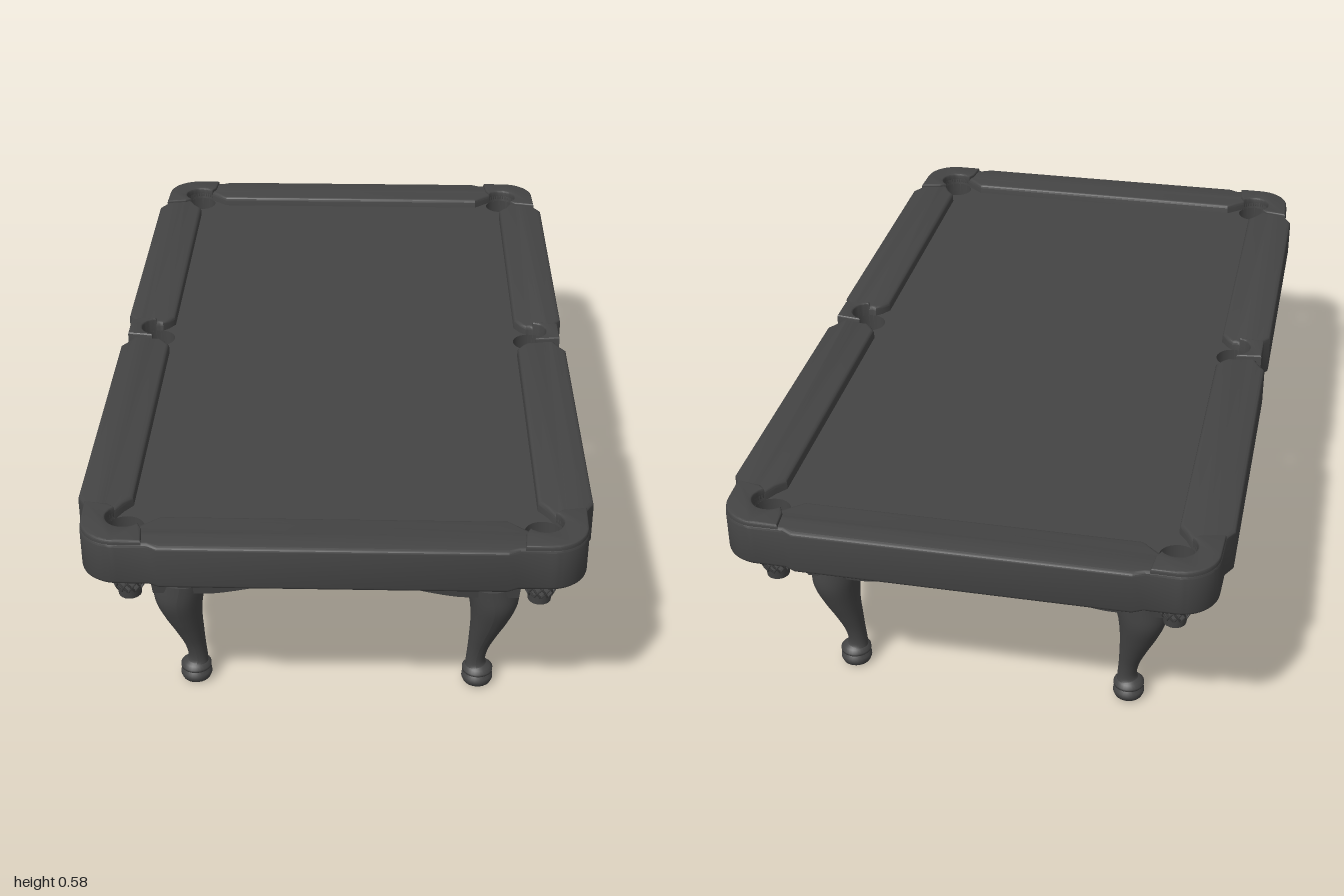
import * as THREE from 'three';
import { toCreasedNormals } from 'three/addons/utils/BufferGeometryUtils.js';

const charcoal = new THREE.MeshStandardMaterial({ color: 0x444444 });
charcoal.name = 'charcoal';

const POCKET_R = 0.043;
const CORNER = [0.463, 0.886];
const SIDE = [0.492, 0];
const signs = [[1, 1], [-1, 1], [-1, -1], [1, -1]];

function arc([cx, cz], r, from, to, n = 14) {
  return Array.from({ length: n + 1 }, (_, i) => {
    const a = THREE.MathUtils.degToRad(from + ((to - from) * i) / n);
    return [cx + r * Math.cos(a), cz + r * Math.sin(a)];
  });
}

// Repeats a quarter outline (side to end) around all four quadrants.
function mirrorQuarter(q) {
  return signs.flatMap(([sx, sz], i) => {
    const pts = q.map(([x, z]) => [x * sx, z * sz]);
    return i % 2 ? pts.reverse() : pts;
  });
}

const vectors = (pts) => pts.map(([x, y]) => new THREE.Vector2(x, y));

// Flat plan outline raised from y0 to y1 with softened edges.
function slab(outline, holes, y0, y1, bevel) {
  const shape = new THREE.Shape(vectors(outline));
  holes.forEach((h) => shape.holes.push(new THREE.Path(vectors(h))));
  const geo = new THREE.ExtrudeGeometry(shape, {
    depth: y1 - y0 - 2 * bevel, bevelEnabled: bevel > 0, bevelSize: bevel,
    bevelThickness: bevel, bevelOffset: -bevel, bevelSegments: 3,
  });
  geo.rotateX(-Math.PI / 2).translate(0, y0 + bevel, 0);
  return toCreasedNormals(geo, 0.6);
}

function add(parent, name, geo) {
  const mesh = new THREE.Mesh(geo, charcoal);
  mesh.name = name;
  parent.add(mesh);
  return mesh;
}

// Tapered apron board with an arched lower edge.
function apronBoard(halfBottom, halfTop, faceBottom, faceTop, archHalf) {
  const geo = new THREE.BoxGeometry(2, 1, 1, 48, 5, 1);
  const p = geo.attributes.position;
  for (let i = 0; i < p.count; i++) {
    const u = p.getX(i), v = p.getY(i) + 0.5, w = 0.5 - p.getZ(i);
    const d = Math.min(Math.abs(u * halfBottom) / archHalf, 1);
    const low = 0.3 + 0.052 * Math.pow(0.5 + 0.5 * Math.cos(Math.PI * d), 0.75);
    const y = low + (0.47 - low) * v;
    const t = (y - 0.3) / 0.17;
    const inset = w * 0.03;
    p.setXYZ(i, u * (halfBottom + (halfTop - halfBottom) * t - inset), y,
      faceBottom + (faceTop - faceBottom) * t - inset);
  }
  geo.computeVertexNormals();
  return geo;
}

// Curved leg: x = outward lean, y = height, z = radius.
const legCurve = new THREE.CatmullRomCurve3([
  [0, 0.045, 0.03], [-0.005, 0.06, 0.024], [-0.001, 0.1, 0.025], [0.01, 0.15, 0.034],
  [0.022, 0.2, 0.045], [0.03, 0.26, 0.058], [0.02, 0.32, 0.066],
].map((a) => new THREE.Vector3(...a)));

function legGeometry(sx, sz) {
  const geo = new THREE.CylinderGeometry(1, 1, 1, 28, 28);
  const p = geo.attributes.position;
  for (let i = 0; i < p.count; i++) {
    const c = legCurve.getPoint(p.getY(i) + 0.5);
    p.setXYZ(i, sx * c.x + p.getX(i) * c.z, c.y, sz * c.x * 0.6 + p.getZ(i) * c.z);
  }
  geo.computeVertexNormals();
  return geo;
}

// Net radius at height fraction t, from bottom to top.
const netRadius = (t) => 0.029 + 0.013 * Math.sin(Math.min(t * 1.7, 1) * Math.PI / 2);

function netStrand(turn) {
  const pts = Array.from({ length: 13 }, (_, i) => {
    const t = i / 12, a = turn * t * 1.3, r = netRadius(t);
    return new THREE.Vector3(r * Math.cos(a), 0.39 + t * 0.08, r * Math.sin(a));
  });
  return new THREE.TubeGeometry(new THREE.CatmullRomCurve3(pts), 16, 0.0026, 5);
}

function pocket(strands, cup, rim) {
  const g = new THREE.Group();
  g.name = 'pocket';
  strands.forEach((geo) => {
    for (let i = 0; i < 12; i++) add(g, 'netStrand', geo).rotation.y = (i / 12) * Math.PI * 2;
  });
  add(g, 'netCup', cup);
  add(g, 'netRim', rim);
  return g;
}

export function createModel() {
  const table = new THREE.Group();
  table.name = 'poolTable';

  // Rail frame with pocket mouths cut into the inner edge
  const outer = mirrorQuarter([
    [0.555, 0.045], [0.566, 0.065], [0.58, 0.085], [0.58, 0.8], [0.563, 0.83],
    ...arc([0.473, 0.9], 0.088, 0, 90, 16), [0.405, 0.988], [0.38, 1],
  ]);
  const inner = mirrorQuarter([
    ...arc(SIDE, POCKET_R, 4, 100), [0.47, 0.056], [0.455, 0.078],
    [0.455, 0.8], [0.474, 0.825],
    ...arc(CORNER, POCKET_R, -55, 145, 20), [0.405, 0.892], [0.385, 0.875],
  ]);
  add(table, 'railFrame', slab(outer, [inner], 0.465, 0.573, 0.009));

  // Playing bed with six pocket holes
  const centres = [...signs.map(([sx, sz]) => [CORNER[0] * sx, CORNER[1] * sz]),
    SIDE, [-SIDE[0], 0]];
  const holes = centres.map((c) => arc(c, POCKET_R, 0, 345, 23));
  add(table, 'playingBed', slab(mirrorQuarter([[0.545, 0.95]]), holes, 0.47, 0.548, 0));

  // Raised corner castings
  const casting = [
    [0.561, 0.83], ...arc([0.473, 0.9], 0.086, 0, 90, 16), [0.415, 0.986],
    [0.42, 0.935], ...arc(CORNER, POCKET_R, 140, -50, 20), [0.505, 0.84],
  ];
  signs.forEach(([sx, sz]) => add(table, 'cornerCasting',
    slab(casting.map(([x, z]) => [x * sx, z * sz]), [], 0.55, 0.581, 0.005)));

  // Side pocket castings
  const bracket = [[0.567, -0.04], [0.567, 0.04], [0.503, 0.048],
    ...arc(SIDE, POCKET_R, 75, -75), [0.503, -0.048]];
  [1, -1].forEach((s) => add(table, 'sideCasting',
    slab(bracket.map(([x, z]) => [x * s, z]), [], 0.472, 0.585, 0.004)));

  // Net pockets
  const strands = [netStrand(1), netStrand(-1)];
  const cup = new THREE.CylinderGeometry(0.029, 0.026, 0.026, 20).translate(0, 0.383, 0);
  const rim = new THREE.TorusGeometry(POCKET_R - 0.001, 0.004, 8, 28)
    .rotateX(Math.PI / 2).translate(0, 0.468, 0);
  centres.forEach(([x, z]) => {
    const p = pocket(strands, cup, rim);
    p.position.set(x, 0, z);
    table.add(p);
  });

  // Arched apron and the panel closing it inside
  const endBoard = apronBoard(0.427, 0.441, 0.795, 0.822, 0.3);
  const sideBoard = apronBoard(0.795, 0.822, 0.427, 0.441, 0.72);
  for (let i = 0; i < 4; i++) {
    add(table, i % 2 ? 'sideApron' : 'endApron', i % 2 ? sideBoard : endBoard)
      .rotation.y = (i * Math.PI) / 2;
  }
  add(table, 'underPanel', new THREE.BoxGeometry(0.83, 0.02, 1.58)).position.y = 0.41;

  // Legs with turned feet
  const foot = new THREE.LatheGeometry(vectors([
    [0, 0], [0.025, 0], [0.034, 0.006], [0.038, 0.016], [0.037, 0.025], [0.031, 0.031],
    [0.031, 0.034], [0.037, 0.037], [0.037, 0.043], [0.03, 0.05], [0.02, 0.056],
  ]), 28);
  signs.forEach(([sx, sz]) => {
    const leg = new THREE.Group();
    leg.name = sz > 0 ? 'frontLeg' : 'backLeg';
    add(leg, 'legShaft', legGeometry(sx, sz));
    add(leg, 'foot', foot);
    leg.position.set(0.343 * sx, 0, 0.728 * sz);
    table.add(leg);
  });

  return table;
}
